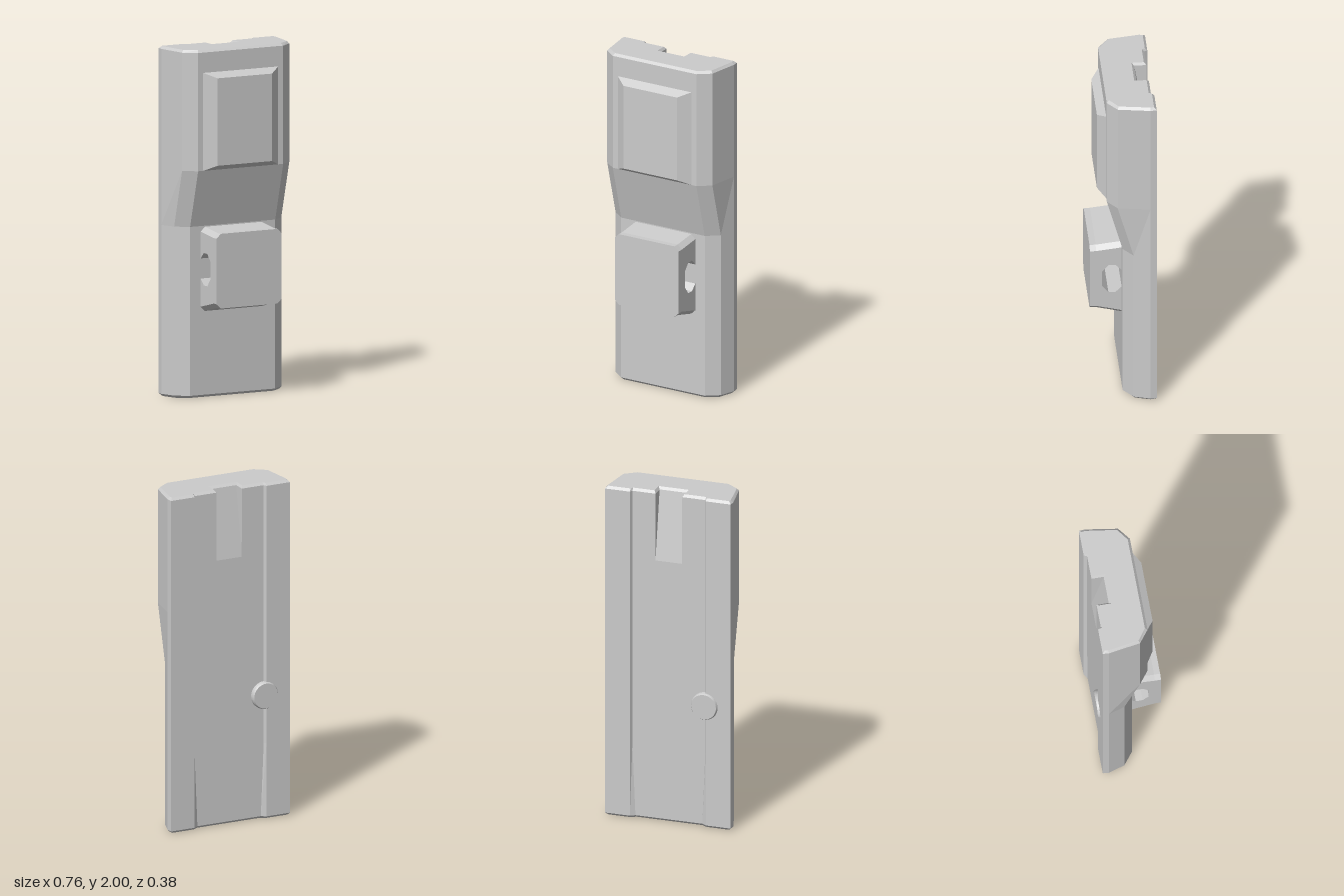
import * as THREE from 'three';
import { toCreasedNormals } from 'three/addons/utils/BufferGeometryUtils.js';

// Closed flat-shaded solid through matching cross-sections: [{h, pts: [[a, b], ...]}].
// place(a, b, h) puts a section point in space.
function loft(sections, place) {
  const rings = sections.map(s => s.pts.map(([a, b]) => place(a, b, s.h)));
  const n = rings[0].length, last = rings.length - 1;
  const tris = [];
  for (let i = 0; i < last; i++) {
    for (let j = 0; j < n; j++) {
      const k = (j + 1) % n;
      const [p, q, r, s] = [rings[i][j], rings[i][k], rings[i + 1][k], rings[i + 1][j]];
      tris.push([p, q, r], [p, r, s]);
    }
  }
  const area = pts => THREE.ShapeUtils.area(pts);
  for (const i of [0, last]) {
    const flat = sections[i].pts.map(([a, b]) => new THREE.Vector2(a, b));
    const ccw = area(flat) > 0;
    for (const f of THREE.ShapeUtils.triangulateShape(flat, [])) {
      const sameWay = (area(f.map(v => flat[v])) > 0) === ccw;
      const t = f.map(v => rings[i][v]);
      if (sameWay === (i === 0)) t.reverse();
      tris.push(t);
    }
  }
  // Turn every face outward
  let volume = 0;
  for (const [a, b, c] of tris) volume += a.dot(b.clone().cross(c));
  if (volume < 0) tris.forEach(t => t.reverse());
  const geo = new THREE.BufferGeometry().setFromPoints(tris.flat());
  geo.computeVertexNormals();
  return geo;
}

// Body cross-section: b = edge bevel, d = slot depth, foot = inner foot of the rear rails
function bodySection(h, front, b, d, foot) {
  const back = -0.157 + b;
  const half = [
    [0.278 - b * 0.5, front - b],
    [0.35 - b * 0.8, front - 0.056 - b * 0.5],
    [0.379 - b, -0.14],
    [0.376 - b, -0.175 + b],
    [0.227, -0.175 + b],
    [foot, back],
    [0.08 + b * 0.7, back],
    [0.0795 + b * 0.7, back + d],
  ];
  return { h, pts: [...half, ...half.map(([x, z]) => [-x, z]).reverse()] };
}

// Clip side profile with its strap opening; c trims the top and bottom edges
function clipSection(h, c) {
  return {
    h,
    pts: [
      [0, 0.975 - c], [0.155, 0.957 - c], [0.19, 0.957 - c],
      [0.19, 0.53 + c], [0.155, 0.53 + c], [0, 0.49 + c],
      [0, 0.69], [0.045, 0.645], [0.085, 0.645], [0.12, 0.69],
      [0.12, 0.79], [0.085, 0.83], [0.045, 0.83], [0, 0.785],
    ],
  };
}

function rect(h, x, y0, y1) {
  return { h, pts: [[-x, y0], [x, y0], [x, y1], [-x, y1]] };
}

export function createModel() {
  const group = new THREE.Group();
  const material = new THREE.MeshStandardMaterial({ color: 0xcccccc });
  const add = (name, geo) => {
    const mesh = new THREE.Mesh(geo, material);
    mesh.name = name;
    group.add(mesh);
    return mesh;
  };

  // Main body: thin below, stepping forward above, with rear rails and a wedge slot
  const bevel = 0.014;
  add('body', loft([
    bodySection(0, 0.01, bevel, 0, 0.198),
    bodySection(bevel, 0.01, 0, 0, 0.2),
    bodySection(0.45, 0.01, 0, 0, 0.218),
    bodySection(0.98, 0.01, 0, 0, 0.218),
    bodySection(1.31, 0.1, 0, 0, 0.218),
    bodySection(1.58, 0.1, 0, 0, 0.218),
    bodySection(2 - bevel, 0.1, 0, 0.07, 0.218),
    bodySection(2, 0.1, bevel, 0.07, 0.218),
  ], (x, z, y) => new THREE.Vector3(x, y, z)));

  // Raised panel on the upper front
  add('frontPanel', loft([
    rect(0.09, 0.245, 1.31, 1.87),
    rect(0.1, 0.245, 1.31, 1.87),
    rect(0.147, 0.178, 1.34, 1.84),
  ], (x, y, z) => new THREE.Vector3(x, y, z)));

  // Front clip with trimmed corners and a sideways opening
  add('frontClip', loft([
    clipSection(-0.209, 0.026),
    clipSection(-0.182, 0),
    clipSection(0.188, 0),
    clipSection(0.215, 0.026),
  ], (z, y, x) => new THREE.Vector3(x, y, z)));

  // Round button on the back
  const profile = [[0, 0], [0.08, 0], [0.08, 0.047], [0.074, 0.058], [0, 0.058]];
  const buttonGeo = new THREE.LatheGeometry(profile.map(p => new THREE.Vector2(...p)), 32);
  const button = add('backButton', toCreasedNormals(buttonGeo, 0.5));
  button.rotation.x = -Math.PI / 2;
  button.position.set(-0.218, 0.737, -0.13);

  return group;
}
